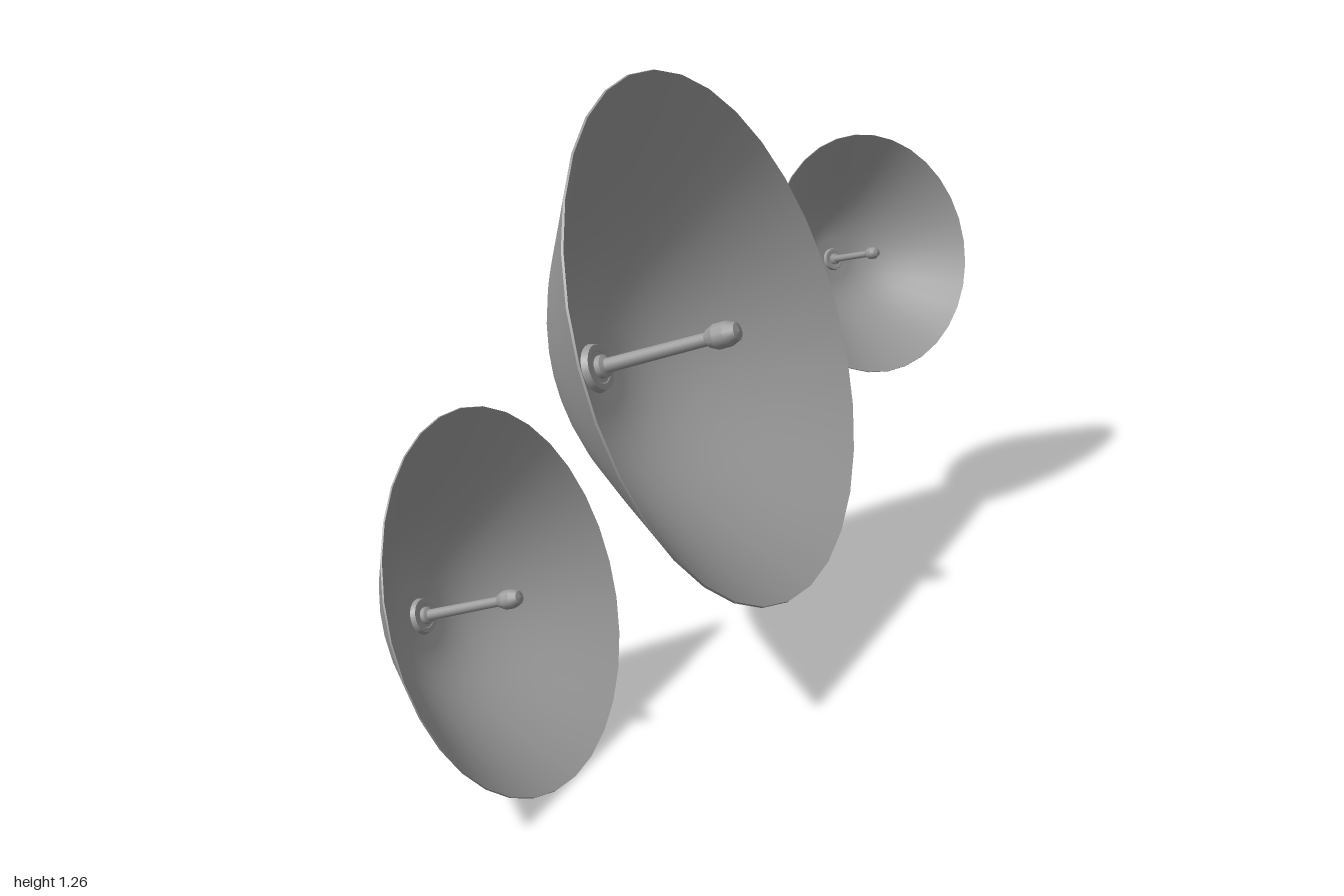
import * as THREE from 'three';

const SEGMENTS = 32;
const UP = new THREE.Vector3(0, 1, 0);
const material = new THREE.MeshStandardMaterial({ color: 0x9a9a9a, side: THREE.DoubleSide });

const vec = (points) => points.map(([r, y]) => new THREE.Vector2(r, y));

function lathe(name, points, segments = SEGMENTS) {
  const mesh = new THREE.Mesh(new THREE.LatheGeometry(points, segments), material);
  mesh.name = name;
  return mesh;
}

// Turned part with sharp edges: one band per pair of points
function turned(name, points, segments) {
  const group = new THREE.Group();
  group.name = name;
  const p = vec(points);
  for (let i = 0; i < p.length - 1; i++) {
    group.add(lathe(name + 'Band', [p[i], p[i + 1]], segments));
  }
  return group;
}

// A dish of rim radius 1, rim centre at the origin, opening towards +y
function createDish(name, hasPlate) {
  const dish = new THREE.Group();
  dish.name = name;

  // Bowl: rounded in the middle, almost conical towards the rim
  const curve = new THREE.CubicBezierCurve(
    ...vec([[0.18, -0.555], [0.42, -0.53], [0.6, -0.336], [1, 0]]));
  const outer = [new THREE.Vector2(0.07, -0.562), ...curve.getPoints(18)];
  const inner = outer.map((p) => new THREE.Vector2(p.x - 0.003, p.y + 0.008)).reverse();
  dish.add(lathe('bowlOutside', outer));
  dish.add(lathe('bowlInside', inner));
  dish.add(lathe('bowlRim', [outer[outer.length - 1], inner[0]]));

  // Flat mounting plate on the back
  if (hasPlate) {
    dish.add(turned('backPlate', [[0.07, -0.566], [0.18, -0.566], [0.18, -0.55]]));
  }

  // Collar through the bowl, with a deep recess at the back
  dish.add(turned('collar', [
    [0.02, -0.53], [0.055, -0.53], [0.06, -0.578], [0.088, -0.578], [0.096, -0.555],
    [0.088, -0.525], [0.065, -0.525], [0.06, -0.528], [0.02, -0.528],
  ], 24));

  // Socket, central rod and receiver head
  dish.add(turned('rodSocket', [[0.045, -0.529], [0.045, -0.505], [0.028, -0.495]], 20));
  const rod = new THREE.Mesh(new THREE.CylinderGeometry(0.026, 0.029, 0.51, 16), material);
  rod.name = 'rod';
  rod.position.y = -0.3;
  dish.add(rod);
  dish.add(turned('receiverHead', [
    [0.026, -0.055], [0.034, -0.048], [0.05, -0.012], [0.05, 0.035], [0.034, 0.075], [0, 0.085],
  ], 12));
  return dish;
}

export function createModel() {
  const model = new THREE.Group();
  model.name = 'dishCluster';
  const dishes = [
    { name: 'largeDish', radius: 0.575, centre: [-0.004, 0.729, 0.057], axis: [0.374, 0.374, 0.849], plate: true },
    { name: 'rightDish', radius: 0.386, centre: [-0.641, 0.357, 0.139], axis: [0.367, 0.367, 0.855], plate: true },
    { name: 'leftDish', radius: 0.283, centre: [0.718, 0.694, -0.2], axis: [-0.12, 0.344, 0.93], plate: false },
  ];
  for (const { name, radius, centre, axis, plate } of dishes) {
    const dish = createDish(name, plate);
    dish.scale.setScalar(radius);
    dish.position.set(...centre);
    dish.quaternion.setFromUnitVectors(UP, new THREE.Vector3(...axis).normalize());
    model.add(dish);
  }
  return model;
}
